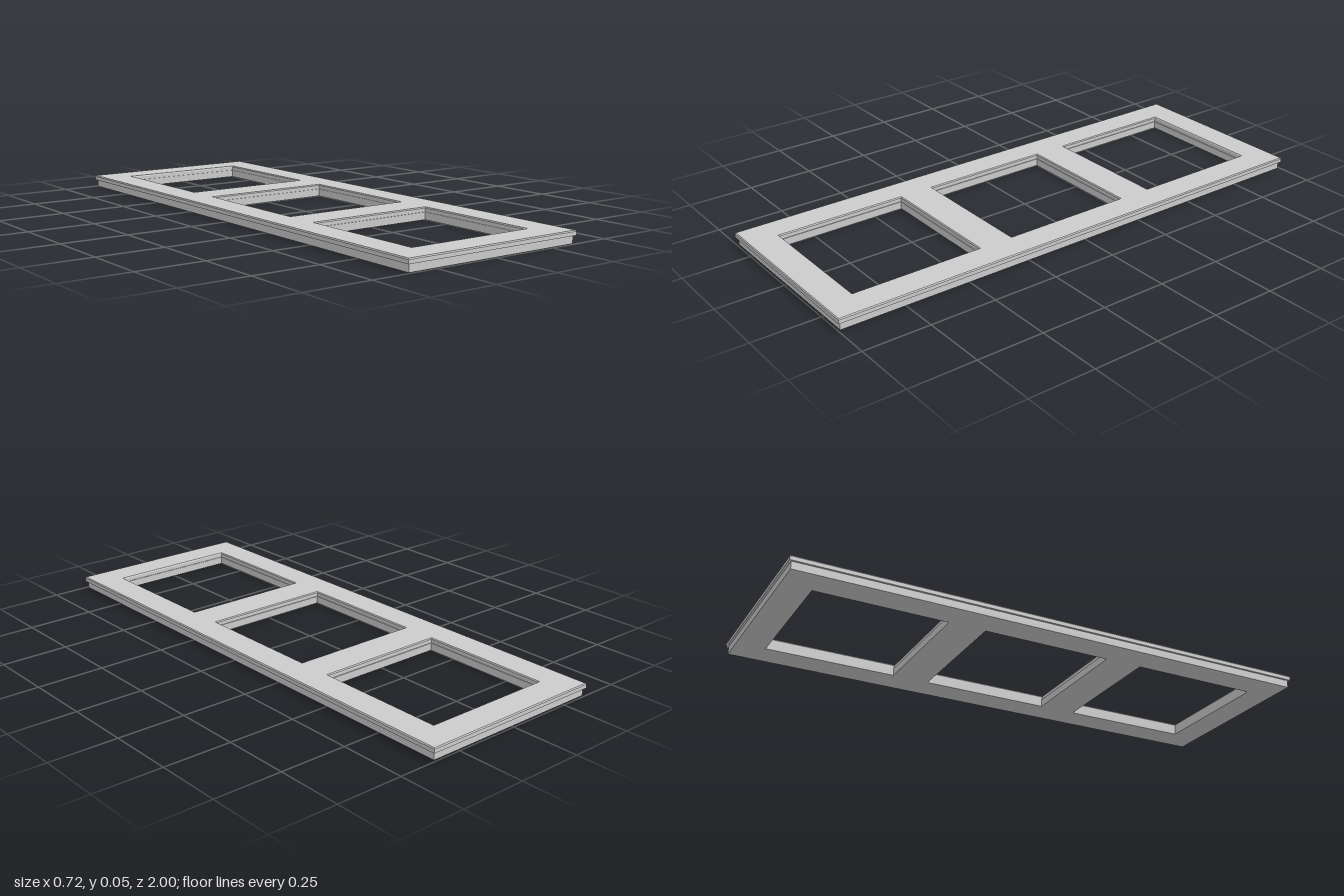
import * as THREE from 'three';

const HOLES = [-0.637, -0.002, 0.635]; // z centres of the openings

// Sections run [half width, half length, y]; bottom-to-top faces outward, top-to-bottom inward.
const OUTER = [
  [0.354, 0.992, 0], [0.354, 0.992, 0.028], [0.362, 1, 0.028],
  [0.362, 1, 0.042], [0.359, 0.997, 0.046],
];
const INNER = [
  [0.253, 0.253, 0.046], [0.25, 0.25, 0.042], [0.25, 0.25, 0.028],
  [0.247, 0.247, 0.028], [0.247, 0.247, 0],
];
const CORNERS = [[1, 1], [1, -1], [-1, -1], [-1, 1]];

// Rectangular band of flat faces through the sections
function band(sections, cz) {
  const pos = [];
  const point = ([w, l, y], i) => {
    const [sx, sz] = CORNERS[i % 4];
    return [sx * w, y, cz + sz * l];
  };
  for (let s = 0; s < sections.length - 1; s++) {
    for (let i = 0; i < 4; i++) {
      const a = point(sections[s], i), b = point(sections[s], i + 1);
      const c = point(sections[s + 1], i + 1), d = point(sections[s + 1], i);
      pos.push(...a, ...b, ...c, ...a, ...c, ...d);
    }
  }
  const g = new THREE.BufferGeometry();
  g.setAttribute('position', new THREE.Float32BufferAttribute(pos, 3));
  g.computeVertexNormals();
  return g;
}

// Flat face with the three openings, facing up (dir 1) or down (dir -1)
function face([w, l, y], [hw, hl], dir) {
  const rect = (path, cy, a, b) => {
    CORNERS.forEach(([sx, sy], i) => path[i ? 'lineTo' : 'moveTo'](sx * a, cy + sy * b));
    path.closePath();
    return path;
  };
  const shape = rect(new THREE.Shape(), 0, w, l);
  for (const z of HOLES) shape.holes.push(rect(new THREE.Path(), -dir * z, hw, hl));
  return new THREE.ShapeGeometry(shape).rotateX(-dir * Math.PI / 2).translate(0, y, 0);
}

export function createModel() {
  const group = new THREE.Group();
  group.name = 'tripleFrame';
  const material = new THREE.MeshStandardMaterial({ color: 0xcccccc, flatShading: true });
  const add = (name, geometry) => {
    const mesh = new THREE.Mesh(geometry, material);
    mesh.name = name;
    group.add(mesh);
  };

  // Stepped outer rim with chamfered top edge
  add('outerRim', band(OUTER, 0));
  // Stepped walls of each opening
  HOLES.forEach((z, i) => add(`openingWall${i + 1}`, band(INNER, z)));
  // Front and back faces of the plate
  add('topFace', face(OUTER[4], INNER[0], 1));
  add('bottomFace', face(OUTER[0], INNER[4], -1));
  return group;
}
